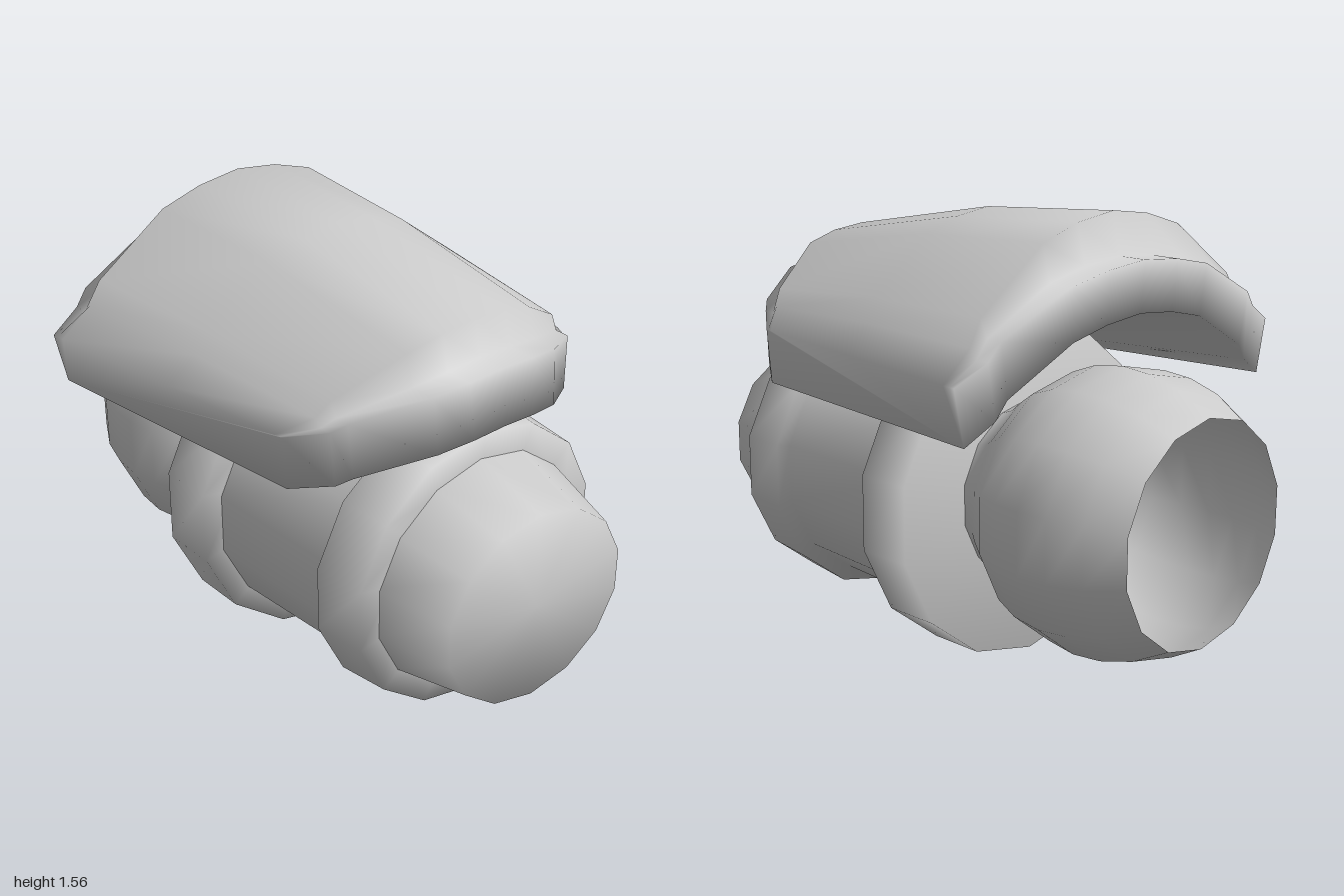
import * as THREE from 'three';

const material = new THREE.MeshStandardMaterial({ color: 0xcccccc });
const openMaterial = new THREE.MeshStandardMaterial({ color: 0xcccccc, side: THREE.DoubleSide });

function addMesh(parent, name, geometry, mat = material) {
  const mesh = new THREE.Mesh(geometry, mat);
  mesh.name = name;
  parent.add(mesh);
  return mesh;
}

// Smooth solid of revolution about the x axis, slightly widened in z; profile is [x, radius] with x rising
function turned(profile, widen) {
  const points = profile.map(([x, r]) => new THREE.Vector2(r, x));
  return new THREE.LatheGeometry(points, 14, Math.PI / 2).rotateZ(-Math.PI / 2).scale(1, 1, widen);
}

// Curved guard: arched rows lofted from the rear edge, over the dome, to the front edge and back below
function guardGeometry() {
  const half = [[0, 0], [0.22, 0.05], [0.43, 0.16], [0.79, 0.6], [0.85, 0.79], [1, 1]];
  const arch = [...half.slice(1).reverse().map(([t, d]) => [-t, d]), ...half];
  // x at the middle, x at the sides, y at the middle, y at the sides, half width
  const rows = [
    [-0.72, -0.66, 1.25, 0.94, 0.71],   // rear lower edge
    [-0.73, -0.66, 1.42, 1.125, 0.75],  // rear upper edge
    [-0.63, -0.64, 1.42, 1.125, 0.747], // foot of the dome
    [-0.60, -0.61, 1.56, 1.125, 0.745],
    [-0.05, -0.10, 1.525, 1.125, 0.67],
    [0.60, 0.37, 1.41, 1.125, 0.605],   // front of the dome
    [0.63, 0.39, 1.29, 1.125, 0.602],
    [0.73, 0.40, 1.29, 1.125, 0.60],    // front upper edge
    [0.75, 0.40, 1.10, 0.94, 0.585],    // front lower edge
  ];
  const positions = [];
  for (const [xm, xs, ym, ys, w] of rows) {
    for (const [t, drop] of arch) {
      positions.push(xm + (xs - xm) * Math.abs(t) ** 2.8, ym + (ys - ym) * drop, w * t);
    }
  }
  const n = arch.length;
  const index = [];
  for (let i = 0; i < rows.length; i++) {
    const a = i * n;
    const b = ((i + 1) % rows.length) * n;
    for (let j = 0; j < n - 1; j++) {
      index.push(a + j, a + j + 1, b + j, a + j + 1, b + j + 1, b + j);
    }
  }
  // Side walls
  for (let i = 1; i < rows.length - 1; i++) {
    index.push(0, i * n, (i + 1) * n);
    index.push(n - 1, (i + 1) * n + n - 1, i * n + n - 1);
  }
  const geometry = new THREE.BufferGeometry();
  geometry.setAttribute('position', new THREE.Float32BufferAttribute(positions, 3));
  geometry.setIndex(index);
  geometry.computeVertexNormals();
  return geometry;
}

export function createModel() {
  const model = new THREE.Group();
  model.name = 'armouredJoint';

  // Rounded hollow joint, open at its outer end
  addMesh(model, 'jointBall', turned([
    [-1, 0.375], [-0.88, 0.44], [-0.76, 0.473], [-0.65, 0.482], [-0.54, 0.468],
    [-0.44, 0.43], [-0.36, 0.375], [-0.31, 0.335], [-0.25, 0.31], [-0.2, 0.31],
  ], 1.02), openMaterial).position.y = 0.59;

  // Wide band around the middle
  addMesh(model, 'collar', turned([
    [-0.25, 0], [-0.25, 0.577], [-0.05, 0.577], [-0.05, 0.45],
  ], 1.035)).position.set(0, 0.577, 0.007);

  // Barrel with raised ring
  addMesh(model, 'barrel', turned([
    [-0.1, 0.48], [0.5, 0.455], [0.5, 0.51], [0.685, 0.492], [0.69, 0.38],
  ], 1.05)).position.set(0, 0.568, 0.026);

  // Tapered end, turned slightly aside
  const taper = addMesh(model, 'taperedEnd', turned([
    [0.6, 0.425], [0.69, 0.405], [0.975, 0.338], [0.978, 0],
  ], 1.07));
  taper.position.y = 0.565;
  taper.rotation.y = -0.055;

  addMesh(model, 'guard', guardGeometry());

  return model;
}
